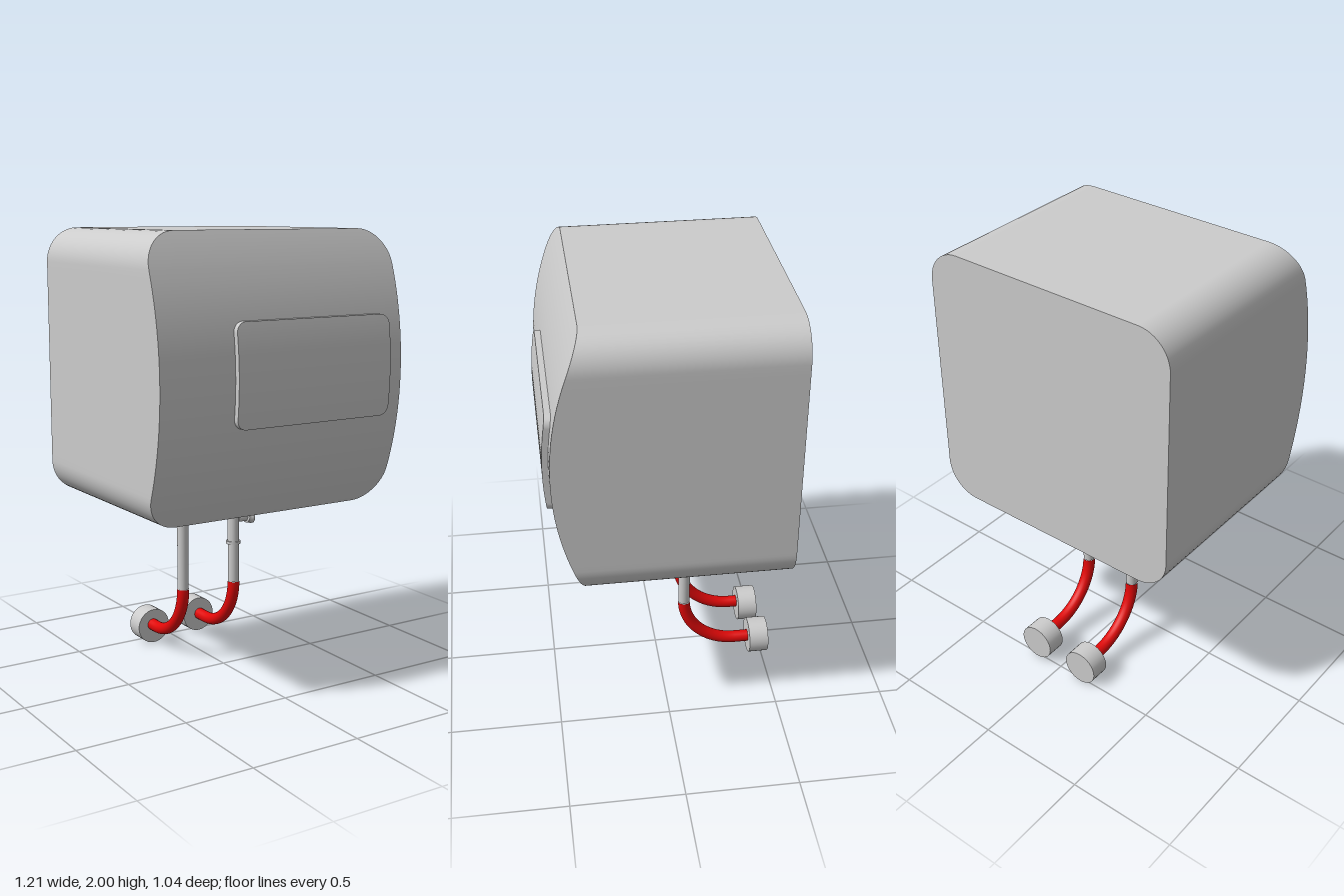
import * as THREE from 'three';

const mat = (color) => new THREE.MeshStandardMaterial({ color });
const grey = mat(0xcccccc), red = mat(0xe00808), blue = mat(0x0808e0);

// Depth of the bowed front: an arc around a horizontal axis
const R = 1.366, MID = 1.4;
const bow = (y, offset = 0) => 0.495 - R + Math.sqrt((R + offset) ** 2 - (y - MID) ** 2);

// Rounded rectangle block whose front and back depths depend on height
function roundedBlock(cx, cy, halfW, halfH, radius, front, back) {
  const half = []; // right-hand outline from bottom to top
  const arc = (y, from) => {
    for (let i = 0; i <= 12; i++) {
      const a = from + (i / 12) * Math.PI / 2;
      half.push([halfW - radius + radius * Math.cos(a), y + radius * Math.sin(a)]);
    }
  };
  arc(radius - halfH, -Math.PI / 2);
  for (let i = 1; i < 24; i++) half.push([halfW, (halfH - radius) * (i / 12 - 1)]);
  arc(halfH - radius, 0);

  const pos = [], index = [];
  const quad = (a, b, c, d) => index.push(a, b, c, a, c, d);
  const add = (x, y, depth) => pos.push(cx + x, cy + y, depth(cy + y));

  // Rim
  const loop = [...half, ...half.map(([x, y]) => [-x, y]).reverse()];
  const n = loop.length;
  loop.forEach(([x, y]) => { add(x, y, back); add(x, y, front); });
  for (let i = 0; i < n; i++) {
    const j = (i + 1) % n;
    quad(2 * i, 2 * j, 2 * j + 1, 2 * i + 1);
  }
  // Front and back faces as horizontal strips
  for (const depth of [front, back]) {
    const s = pos.length / 3;
    half.forEach(([x, y]) => { add(-x, y, depth); add(x, y, depth); });
    for (let i = 0; i < half.length - 1; i++) {
      const k = s + 2 * i;
      if (depth === front) quad(k, k + 1, k + 3, k + 2);
      else quad(k, k + 2, k + 3, k + 1);
    }
  }
  const g = new THREE.BufferGeometry();
  g.setAttribute('position', new THREE.Float32BufferAttribute(pos, 3));
  g.setIndex(index);
  g.computeVertexNormals();
  return g;
}

export function createModel() {
  const model = new THREE.Group();
  const add = (parent, name, geometry, material = grey) => {
    const mesh = new THREE.Mesh(geometry, material);
    mesh.name = name;
    parent.add(mesh);
    return mesh;
  };
  const cylinder = (parent, name, r, length, x, y, z, material = grey, axis = 'y') => {
    const g = new THREE.CylinderGeometry(r, r, length, 32);
    if (axis === 'x') g.rotateZ(-Math.PI / 2);
    if (axis === 'z') g.rotateX(Math.PI / 2);
    const mesh = add(parent, name, g, material);
    mesh.position.set(x, y, z);
    return mesh;
  };

  // Tank casing and raised front panel
  add(model, 'casing', roundedBlock(0, 1.3975, 0.605, 0.6025, 0.15, (y) => bow(y), () => -0.518));
  add(model, 'frontPanel', roundedBlock(0.135, 1.42, 0.39, 0.22, 0.045,
    (y) => bow(y, 0.026), (y) => bow(y, -0.015)));

  // Water pipes: collar, straight pipe, bend and wall fitting
  const pipes = [
    { name: 'hotPipe', x: -0.137, z: -0.133, endY: 0.094, fitX: -0.131, fitY: 0.085, back: -0.516, color: red },
    { name: 'coldPipe', x: 0.132, z: -0.119, endY: 0.1, fitX: 0.126, fitY: 0.098, back: -0.522, color: blue },
  ];
  for (const p of pipes) {
    const pipe = new THREE.Group();
    pipe.name = p.name;
    model.add(pipe);
    cylinder(pipe, 'collar', 0.065, 0.05, p.x < 0 ? p.x : 0.124, 0.777, p.z, p.color);
    cylinder(pipe, 'straightPipe', 0.026, 0.46, p.x, 0.58, p.z);
    const drop = 0.35 - p.endY, k = 0.5523 * drop;
    const path = new THREE.CurvePath();
    const v = (y, z) => new THREE.Vector3(p.x, y, z);
    path.add(new THREE.CubicBezierCurve3(v(0.35, p.z), v(0.35 - k, p.z),
      v(p.endY, p.z - drop + k), v(p.endY, p.z - drop)));
    path.add(new THREE.LineCurve3(v(p.endY, p.z - drop), v(p.endY, -0.45)));
    add(pipe, 'bend', new THREE.TubeGeometry(path, 40, 0.028, 20), red);
    cylinder(pipe, 'wallFitting', 0.083, 0.09, p.fitX, p.fitY, p.back + 0.045, grey, 'z');
  }

  // Safety valve on the cold pipe
  const valve = new THREE.Group();
  valve.name = 'safetyValve';
  model.add(valve);
  cylinder(valve, 'valveBody', 0.0275, 0.17, 0.132, 0.625, -0.122);
  for (const y of [0.54, 0.708]) cylinder(valve, 'valveRing', 0.034, 0.014, 0.132, y, -0.122);
  cylinder(valve, 'valveStem', 0.02, 0.09, 0.175, 0.65, -0.133, grey, 'x');
  const profile = [[0, 0], [0.028, 0], [0.03, 0.006], [0.026, 0.012], [0.028, 0.02], [0.034, 0.023],
    [0.034, 0.033], [0.026, 0.036], [0, 0.036]].map(([r, h]) => new THREE.Vector2(r, h));
  const knob = add(valve, 'valveKnob', new THREE.LatheGeometry(profile, 32).rotateZ(-Math.PI / 2));
  knob.position.set(0.208, 0.65, -0.133);
  return model;
}
